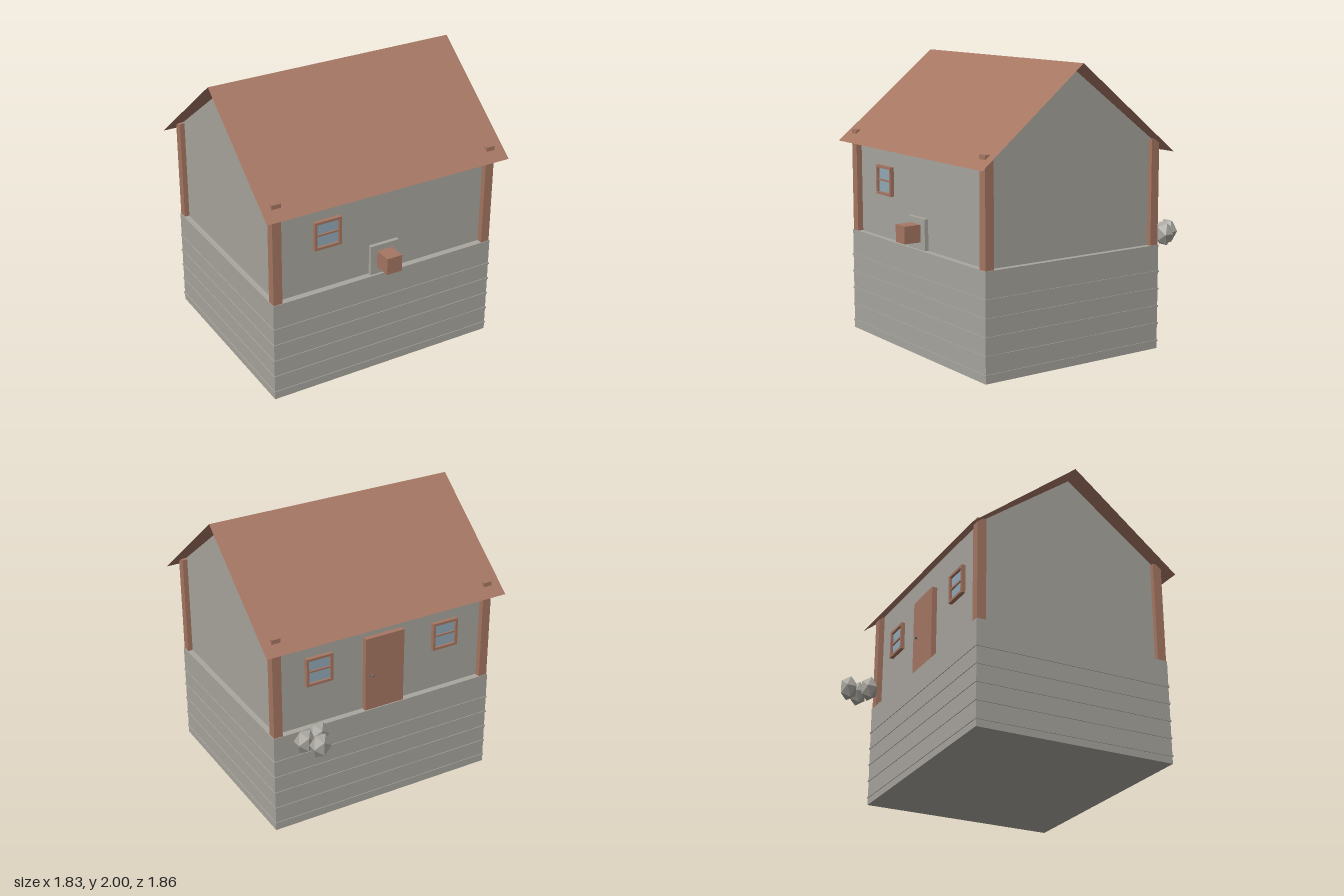
import * as THREE from 'three';

export function createModel() {
  const house = new THREE.Group();
  house.name = 'house';
  const mat = (name, color, extra = {}) =>
    Object.assign(new THREE.MeshStandardMaterial({ color, ...extra }), { name });
  const stone = mat('stone grey', 0xa9a69f);
  const wood = mat('brown wood', 0xa67763, { side: THREE.DoubleSide });
  const glass = mat('blue glass', 0x93abba);
  const metal = mat('dark metal', 0x6b6b6b);
  const ZC = 0.105; // centre line of the building

  function add(name, geometry, material, x = 0, y = 0, z = 0, parent = house) {
    const mesh = new THREE.Mesh(geometry, material);
    mesh.name = name;
    mesh.position.set(x, y, z);
    parent.add(mesh);
    return mesh;
  }
  const box = (name, material, w, h, d, x, y, z, parent) =>
    add(name, new THREE.BoxGeometry(w, h, d), material, x, y, z, parent);

  // Foundation with thin horizontal ridges
  box('foundation', stone, 1.7, 0.73, 1.43, 0, 0.365, ZC);
  for (let i = 0; i < 5; i++) {
    box('foundationRidge', stone, 1.71, 0.012, 1.44, 0, 0.055 + i * 0.1225, ZC);
  }

  // Walls with gable ends
  const gable = new THREE.Shape([[-0.67, 0.73], [0.67, 0.73], [0.67, 1.46], [0, 1.96], [-0.67, 1.46]]
    .map(([a, b]) => new THREE.Vector2(a, b)));
  const walls = new THREE.ExtrudeGeometry(gable, { depth: 1.62, bevelEnabled: false });
  walls.translate(0, 0, -0.81).rotateY(Math.PI / 2);
  add('walls', walls, stone, 0, 0, ZC);

  // Corner posts, their tops reaching through the roof
  for (const sx of [-1, 1]) for (const sz of [-1, 1]) {
    box('cornerPost', wood, 0.064, 0.73, 0.064, sx * 0.813, 1.095, ZC + sz * 0.679);
  }

  // Roof: two thin slopes
  const half = 0.78, rise = 0.625;
  for (const s of [-1, 1]) {
    const slope = new THREE.PlaneGeometry(1.83, Math.hypot(half, rise));
    slope.rotateX(-Math.atan2(half, rise));
    if (s < 0) slope.rotateY(Math.PI);
    add(s > 0 ? 'frontRoof' : 'backRoof', slope, wood, 0, 2 - rise / 2, ZC + s * half / 2);
  }

  // Windows: frame, middle bar and pane
  function addWindow(name, x, z, turn) {
    const g = new THREE.Group();
    g.name = name;
    g.position.set(x, 1.138, z);
    g.rotation.y = turn;
    house.add(g);
    for (const s of [-1, 1]) {
      box('windowFrameSide', wood, 0.018, 0.204, 0.03, s * 0.09, 0, 0.013, g);
      box('windowFrameRail', wood, 0.162, 0.018, 0.03, 0, s * 0.093, 0.013, g);
    }
    box('windowBar', wood, 0.162, 0.012, 0.022, 0, 0, 0.01, g);
    box('windowPane', glass, 0.162, 0.168, 0.009, 0, 0, 0.006, g);
  }
  addWindow('frontWindow', -0.433, 0.775, 0);
  for (const s of [-1, 1]) addWindow('backWindow', s * 0.49, -0.565, Math.PI);

  // Back door and knob
  box('door', wood, 0.3, 0.545, 0.04, 0, 1.0025, -0.582);
  add('doorKnob', new THREE.SphereGeometry(0.011, 12, 8), metal, 0.095, 0.99, -0.604);

  // Front panel with a projecting block
  box('frontPanel', stone, 0.216, 0.215, 0.035, 0, 0.8375, 0.785);
  box('frontBlock', wood, 0.115, 0.12, 0.13, -0.002, 0.842, 0.862);

  // Faceted stones behind the house
  for (const [x, z] of [[0.648, -0.873], [0.71, -0.78], [0.59, -0.74]]) {
    const rock = new THREE.IcosahedronGeometry(1, 0);
    rock.scale(0.075, 0.092, 0.065);
    add('rock', rock, stone, x, 0.767, z);
  }
  return house;
}
